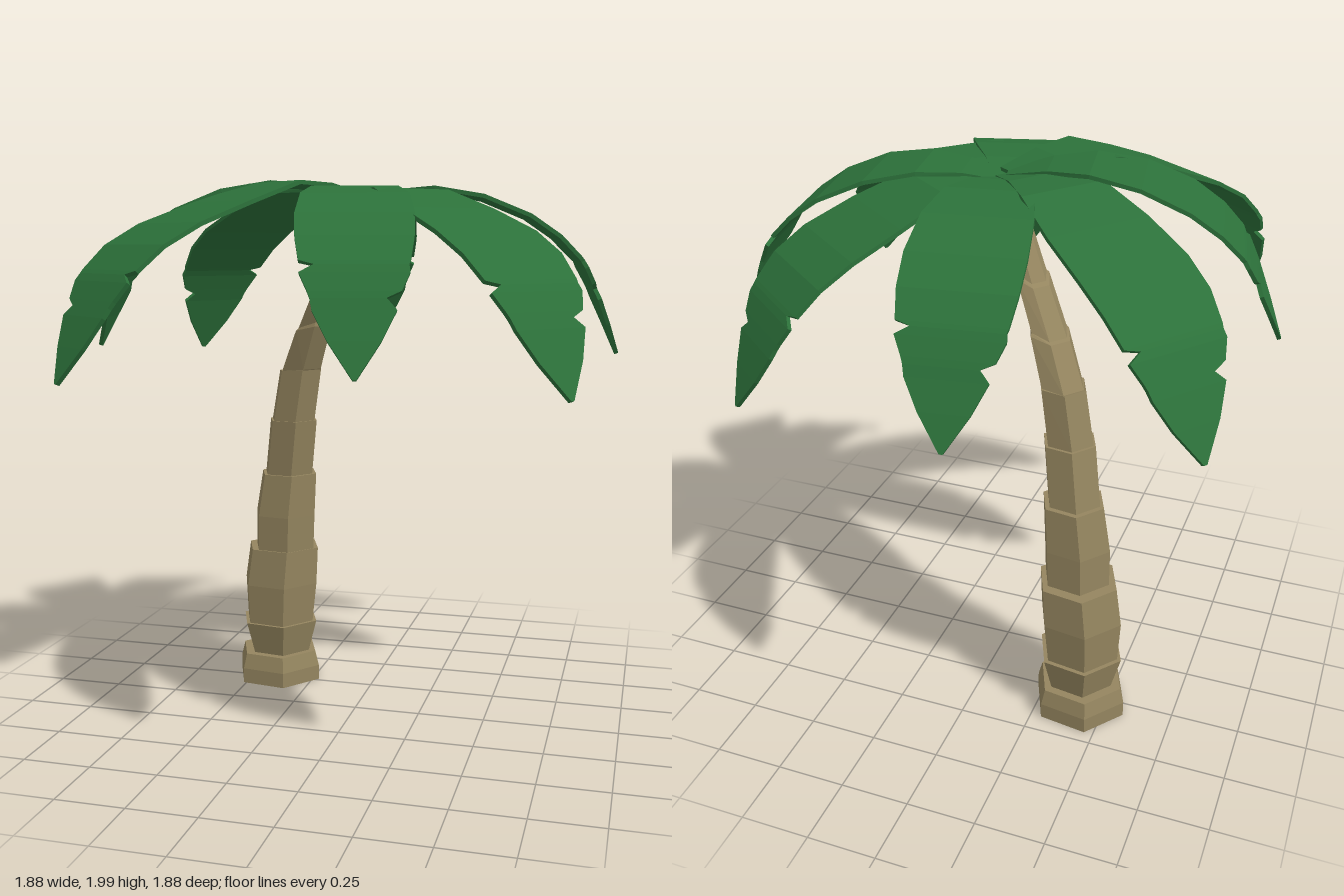
import * as THREE from 'three';

const green = new THREE.MeshStandardMaterial({ color: 0x2c713a, flatShading: true, side: THREE.DoubleSide });
const bark = new THREE.MeshStandardMaterial({ color: 0x94855f, flatShading: true });

// Skin a series of closed cross-sections and cap both ends
function loft(rings) {
  const n = rings[0].length, pos = [];
  const tri = (...pts) => pts.forEach(p => pos.push(p.x, p.y, p.z));
  for (let i = 0; i < rings.length - 1; i++) {
    for (let k = 0; k < n; k++) {
      const j = (k + 1) % n, a = rings[i], b = rings[i + 1];
      tri(a[k], b[k], b[j]);
      tri(a[k], b[j], a[j]);
    }
  }
  const end = rings[rings.length - 1];
  for (let k = 1; k < n - 1; k++) {
    tri(rings[0][0], rings[0][k], rings[0][k + 1]);
    tri(end[0], end[k + 1], end[k]);
  }
  const g = new THREE.BufferGeometry();
  g.setAttribute('position', new THREE.Float32BufferAttribute(pos, 3));
  g.computeVertexNormals();
  return g;
}

// Six-sided leaning trunk of stepped segments: x, y, z, radius, lean angle
function makeTrunk() {
  const sections = [
    [-0.40, 0.00, -0.288, 0.178, 0], [-0.40, 0.06, -0.288, 0.178, 0], [-0.40, 0.12, -0.288, 0.162, 0],
    [-0.395, 0.12, -0.287, 0.128, 0], [-0.395, 0.25, -0.285, 0.163, 0],
    [-0.395, 0.25, -0.283, 0.147, 0], [-0.39, 0.41, -0.283, 0.16, 0], [-0.375, 0.56, -0.282, 0.152, 0],
    [-0.365, 0.56, -0.265, 0.127, 0], [-0.36, 0.70, -0.26, 0.129, 0], [-0.34, 0.87, -0.255, 0.118, 0],
    [-0.34, 0.87, -0.25, 0.102, 0], [-0.31, 1.09, -0.223, 0.1, 0],
    [-0.31, 1.09, -0.22, 0.091, 0], [-0.273, 1.29, -0.2, 0.088, 0.05],
    [-0.268, 1.29, -0.195, 0.083, 0.1], [-0.205, 1.45, -0.145, 0.078, 0.25],
    [-0.20, 1.46, -0.14, 0.071, 0.35], [-0.12, 1.62, -0.08, 0.066, 0.45],
    [-0.115, 1.63, -0.075, 0.057, 0.5], [-0.055, 1.76, -0.035, 0.053, 0.5],
    [-0.05, 1.77, -0.03, 0.045, 0.5], [0.00, 1.91, 0.00, 0.036, 0.4],
  ];
  const axis = new THREE.Vector3(0.6, 0, -0.8);
  const rings = sections.map(([x, y, z, r, lean]) => Array.from({ length: 6 }, (_, k) => {
    const a = THREE.MathUtils.degToRad(8 + 60 * k);
    return new THREE.Vector3(r * Math.cos(a), 0, r * Math.sin(a))
      .applyAxisAngle(axis, -lean).add(new THREE.Vector3(x, y, z));
  }));
  const mesh = new THREE.Mesh(loft(rings), bark);
  mesh.name = 'trunk';
  return mesh;
}

// Frond stations: fraction of length, height of a straight frond, height of a
// diagonal frond, half width, left cut, right cut
const stations = [
  [0, 1.93, 1.93, 0.05, 1, 1], [0.15, 1.962, 1.96, 0.1, 1, 1], [0.3, 1.972, 1.962, 0.155, 1, 1],
  [0.48, 1.942, 1.893, 0.188, 1, 1], [0.65, 1.875, 1.82, 0.2, 1, 1], [0.76, 1.803, 1.75, 0.195, 1, 1],
  [0.835, 1.73, 1.672, 0.18, 1, 1], [0.845, 1.718, 1.66, 0.175, 0.74, 1], [0.86, 1.695, 1.637, 0.178, 1, 1],
  [0.89, 1.64, 1.58, 0.15, 1, 1], [0.9, 1.62, 1.56, 0.142, 1, 0.72], [0.915, 1.585, 1.53, 0.135, 1, 1],
  [0.955, 1.495, 1.435, 0.085, 1, 1], [1, 1.385, 1.325, 0.006, 1, 1],
];

// Flat leaf blade that droops along its length, with notched edges, pointing
// from the crown to (tipX, tipZ); column picks the height profile
function makeFrond([tipX, tipZ, lift], column, width, flip) {
  const length = Math.hypot(tipX, tipZ);
  const dir = new THREE.Vector3(tipX / length, 0, tipZ / length);
  const side = new THREE.Vector3(dir.z, 0, -dir.x);
  const across = [-1, 0, 1];
  const rings = stations.map((station, i) => {
    const [t, , , half, cutL, cutR] = station;
    const p = stations[Math.max(i - 1, 0)], q = stations[Math.min(i + 1, stations.length - 1)];
    const dr = (q[0] - p[0]) * length, dy = q[column] - p[column], d = Math.hypot(dr, dy);
    const normal = dir.clone().multiplyScalar(-dy / d).setY(dr / d);
    const point = (u, depth) => {
      const w = half * width * u * (u * flip < 0 ? cutL : cutR);
      return dir.clone().multiplyScalar(t * length).setY(station[column] + lift)
        .addScaledVector(side, w).addScaledVector(normal, -depth);
    };
    return [...across.map(u => point(u, 0)), ...across.slice().reverse().map(u => point(u, 0.014))];
  });
  return new THREE.Mesh(loft(rings), green);
}

export function createModel() {
  const model = new THREE.Group();
  model.name = 'palmTree';
  model.add(makeTrunk());

  // Crown of long diagonal fronds between straight fronds: tip x, tip z, lift
  const crown = new THREE.Group();
  crown.name = 'crown';
  const diagonal = [[0.66, -0.77, -0.01], [0.85, 0.75, -0.005], [-0.72, 0.93, 0.02], [-0.86, -0.65, 0.012]];
  const straight = [[-0.14, -0.94, 0], [0.94, -0.17, 0], [0.23, 0.9, -0.005], [-0.94, 0.18, 0.02]];
  diagonal.forEach((tip, i) => {
    const frond = makeFrond(tip, 2, 1.02, i % 2 ? 1 : -1);
    frond.name = 'diagonalFrond' + (i + 1);
    crown.add(frond);
  });
  straight.forEach((tip, i) => {
    const frond = makeFrond(tip, 1, 0.94, i % 2 ? -1 : 1);
    frond.name = 'straightFrond' + (i + 1);
    crown.add(frond);
  });
  model.add(crown);
  return model;
}
